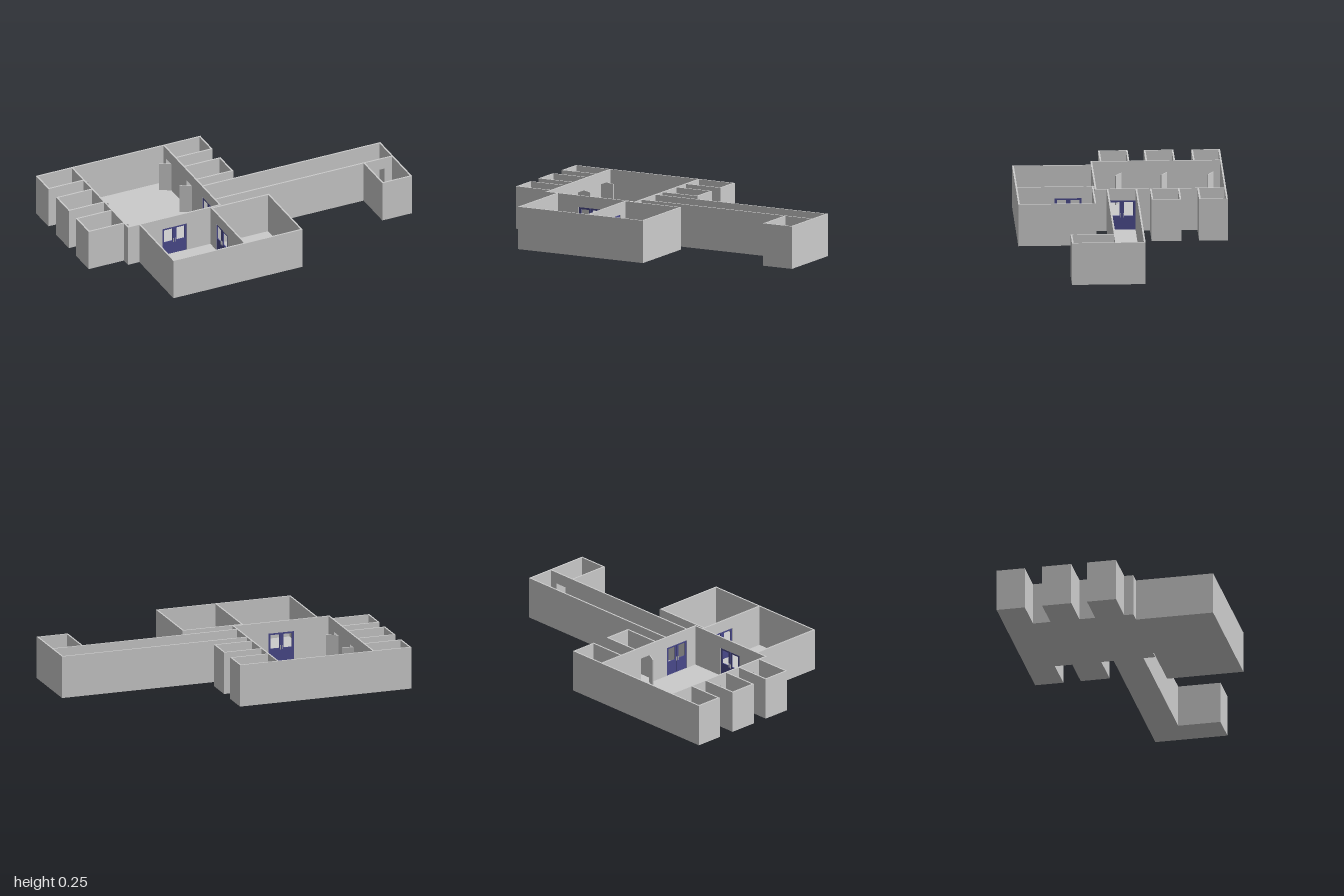
import * as THREE from 'three';

const H = 0.255, W = 0.01, FLOOR = 0.006, DOOR_H = 0.185;
const grey = new THREE.MeshStandardMaterial({ color: 0xcccccc, flatShading: true });
const blue = new THREE.MeshStandardMaterial({ color: 0x4a4a8c, flatShading: true });

function box(name, w, h, d, x, y, z, material = grey) {
  const mesh = new THREE.Mesh(new THREE.BoxGeometry(w, h, d), material);
  mesh.name = name;
  mesh.position.set(x, y, z);
  return mesh;
}

// Wall running from a to b along one axis, centred on `at` of the other axis,
// with doorways given as [start, end] pairs.
function wall(name, axis, at, a, b, doorways = []) {
  const shape = new THREE.Shape();
  shape.moveTo(a, 0);
  for (const [s, e] of doorways) {
    shape.lineTo(s, 0);
    shape.lineTo(s, DOOR_H);
    shape.lineTo(e, DOOR_H);
    shape.lineTo(e, 0);
  }
  shape.lineTo(b, 0);
  shape.lineTo(b, H);
  shape.lineTo(a, H);
  const geometry = new THREE.ExtrudeGeometry(shape, { depth: W, bevelEnabled: false });
  geometry.translate(0, 0, -W / 2);
  const mesh = new THREE.Mesh(geometry, grey);
  mesh.name = name;
  if (axis === 'x') mesh.position.z = at;
  else {
    mesh.rotation.y = -Math.PI / 2;
    mesh.position.x = at;
  }
  return mesh;
}

// Pair of blue doors with an open window in each leaf and handles on both sides
function doubleDoor(x, z, turn) {
  const group = new THREE.Group();
  group.name = 'doubleDoor';
  const leafW = 0.079, bottom = FLOOR, top = DOOR_H;
  for (const side of [-1, 1]) {
    const shape = new THREE.Shape();
    shape.moveTo(-leafW / 2, bottom);
    shape.lineTo(leafW / 2, bottom);
    shape.lineTo(leafW / 2, top);
    shape.lineTo(-leafW / 2, top);
    const pane = new THREE.Path();
    pane.moveTo(-0.027, 0.09);
    pane.lineTo(-0.027, 0.174);
    pane.lineTo(0.027, 0.174);
    pane.lineTo(0.027, 0.09);
    shape.holes.push(pane);
    const geometry = new THREE.ExtrudeGeometry(shape, { depth: 0.006, bevelEnabled: false });
    const leaf = new THREE.Mesh(geometry, blue);
    leaf.name = 'doorLeaf';
    leaf.position.set(side * 0.04, 0, -0.003);
    group.add(leaf);
    for (const face of [-1, 1]) {
      group.add(box('handle', 0.003, 0.025, 0.004, side * 0.007, 0.095, face * 0.007, grey));
    }
  }
  group.position.set(x, 0, z);
  group.rotation.y = turn;
  return group;
}

// Grey cell door standing ajar, hinged at x, z
function openDoor(x, z, angle) {
  const group = new THREE.Group();
  group.name = 'openDoor';
  group.add(box('doorLeaf', 0.074, DOOR_H - FLOOR, 0.006, 0.037, (DOOR_H + FLOOR) / 2, 0));
  group.position.set(x, 0, z);
  group.rotation.y = angle;
  return group;
}

export function createModel() {
  const model = new THREE.Group();
  model.name = 'floorPlan';
  const h = W / 2;
  const floor = (name, x0, x1, z0, z1) =>
    model.add(box(name, x1 - x0, FLOOR, z1 - z0, (x0 + x1) / 2, FLOOR / 2, (z0 + z1) / 2));

  // Side cells: three on the right of the hall, two on its left
  const cells = [[-0.62, -0.45], [-0.345, -0.17], [-0.075, 0.1]];
  const westDoors = [], eastDoors = [];
  const cell = (inner, outer, z0, z1) => {
    const a = Math.min(inner, outer), b = Math.max(inner, outer);
    floor('cellFloor', a, b, z0, z1);
    for (const z of [z0 + h, z1 - h]) model.add(wall('cellWall', 'x', z, a, b));
    model.add(wall('cellEndWall', 'z', outer - Math.sign(outer - inner) * h, z0, z1));
  };
  cells.forEach(([z0, z1], i) => {
    cell(-0.77, -1, z0, z1);
    const hinge = z0 + 0.05;
    westDoors.push([hinge, hinge + 0.074]);
    model.add(openDoor(-0.762, hinge, -0.5));
    if (i === 2) return;
    cell(-0.16, 0.075, z0, z1);
    const eastHinge = z1 - 0.055;
    eastDoors.push([eastHinge - 0.074, eastHinge]);
    model.add(openDoor(-0.168, eastHinge, Math.PI - 0.5));
  });

  // Main hall
  floor('hallFloor', -0.77, -0.16, -0.62, 0.155);
  model.add(
    wall('hallBackWall', 'x', -0.62 + h, -0.77, -0.16),
    wall('hallFrontWall', 'x', 0.155 - h, -0.77, -0.16, [[-0.545, -0.385]]),
    wall('hallRightWall', 'z', -0.77 + h, -0.62, 0.155, westDoors),
    wall('hallLeftWall', 'z', -0.16 - h, -0.62, 0.155, [...eastDoors, [-0.085, 0.075]]),
    doubleDoor(-0.465, 0.15, 0),
    doubleDoor(-0.165, -0.005, Math.PI / 2),
  );

  // Two front rooms joined by a double door
  floor('frontRoomFloor', -0.695, -0.225, 0.155, 0.62);
  floor('sideRoomFloor', -0.225, 0.15, 0.16, 0.62);
  model.add(
    wall('frontRoomRightWall', 'z', -0.695 + h, 0.15, 0.62),
    wall('frontRoomsFrontWall', 'x', 0.62 - h, -0.695, 0.15),
    wall('dividingWall', 'z', -0.225, 0.155, 0.62, [[0.23, 0.39]]),
    wall('sideRoomBackWall', 'x', 0.16 + h, -0.23, 0.15),
    wall('sideRoomLeftWall', 'z', 0.15 - h, 0.16, 0.62),
    doubleDoor(-0.225, 0.31, Math.PI / 2),
  );

  // Long corridor with a small room at its end
  floor('corridorFloor', -0.16, 1, -0.095, 0.085);
  floor('endRoomFloor', 0.805, 1, 0.085, 0.34);
  model.add(
    wall('corridorBackWall', 'x', -0.095 + h, -0.16, 1),
    wall('corridorFrontWall', 'x', 0.085 - h, -0.16, 1, [[0.865, 0.94]]),
    wall('corridorEndWall', 'z', 1 - h, -0.095, 0.34),
    wall('endRoomRightWall', 'z', 0.805 + h, 0.085, 0.34),
    wall('endRoomFrontWall', 'x', 0.34 - h, 0.805, 1),
  );
  return model;
}
